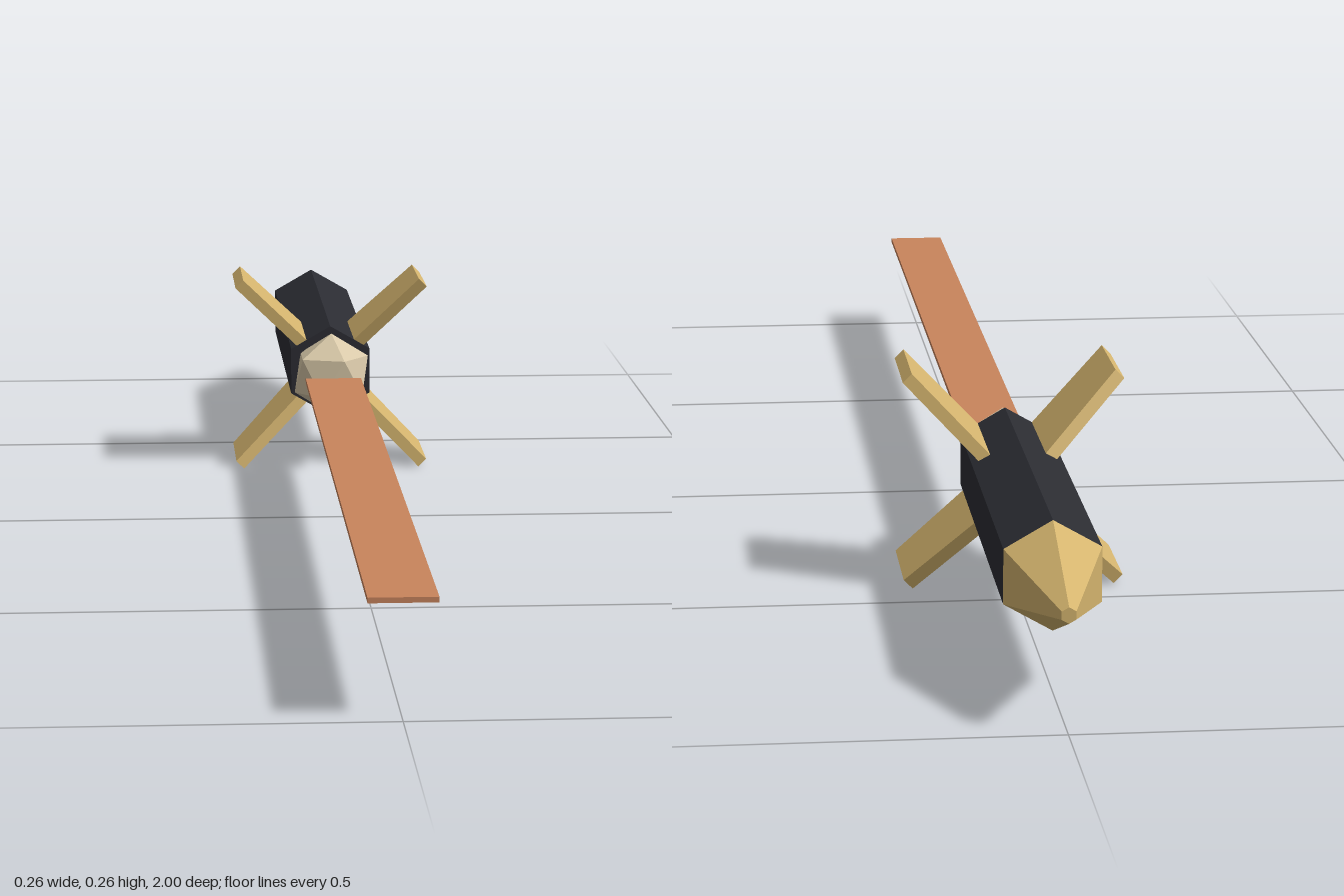
import * as THREE from 'three';

export function createModel() {
  const model = new THREE.Group();
  const axisY = 0.131;

  const material = (name, color) => {
    const m = new THREE.MeshStandardMaterial({ color, flatShading: true });
    m.name = name;
    return m;
  };
  const black = material('black', 0x2b2c32);
  const gold = material('gold', 0xd4b46e);
  const copper = material('copper', 0xc8845c);
  const cream = material('cream', 0xd8c8a8);

  const add = (name, geometry, mat, z = 0) => {
    const mesh = new THREE.Mesh(geometry, mat);
    mesh.name = name;
    mesh.position.set(0, axisY, z);
    model.add(mesh);
    return mesh;
  };

  // Six-sided section along z, narrowing toward the back (-z)
  const hexSection = (rBack, rFront, zBack, zFront) => {
    const g = new THREE.CylinderGeometry(rBack, rFront, zFront - zBack, 6);
    g.rotateX(-Math.PI / 2);
    return g.translate(0, 0, (zBack + zFront) / 2);
  };
  add('body', hexSection(0.062, 0.062, -0.85, -0.34), black);
  add('nose', hexSection(0.009, 0.062, -1, -0.85), gold);

  // Four swept fins on the diagonals; outline is (radius, -z)
  const thickness = 0.015;
  const outline = new THREE.Shape([
    [0.04, 0.344], [0.177, 0.315], [0.177, 0.444], [0.04, 0.497],
  ].map(([r, z]) => new THREE.Vector2(r, z)));
  const finGeometry = new THREE.ExtrudeGeometry(outline, { depth: thickness, bevelEnabled: false });
  finGeometry.translate(0, 0, -thickness / 2).rotateX(-Math.PI / 2);
  for (let i = 0; i < 4; i++) {
    add('fin', finGeometry, gold).rotation.z = Math.PI / 4 + i * Math.PI / 2;
  }

  // Faceted ball at the tail, one corner pointing straight up
  const ball = new THREE.IcosahedronGeometry(0.056, 0);
  ball.rotateZ(-Math.atan(2 / (1 + Math.sqrt(5))));
  add('tailBall', ball, cream, -0.316);

  // Long flat streamer
  add('streamer', new THREE.BoxGeometry(0.075, 0.006, 1.266), copper, 0.367);

  return model;
}
